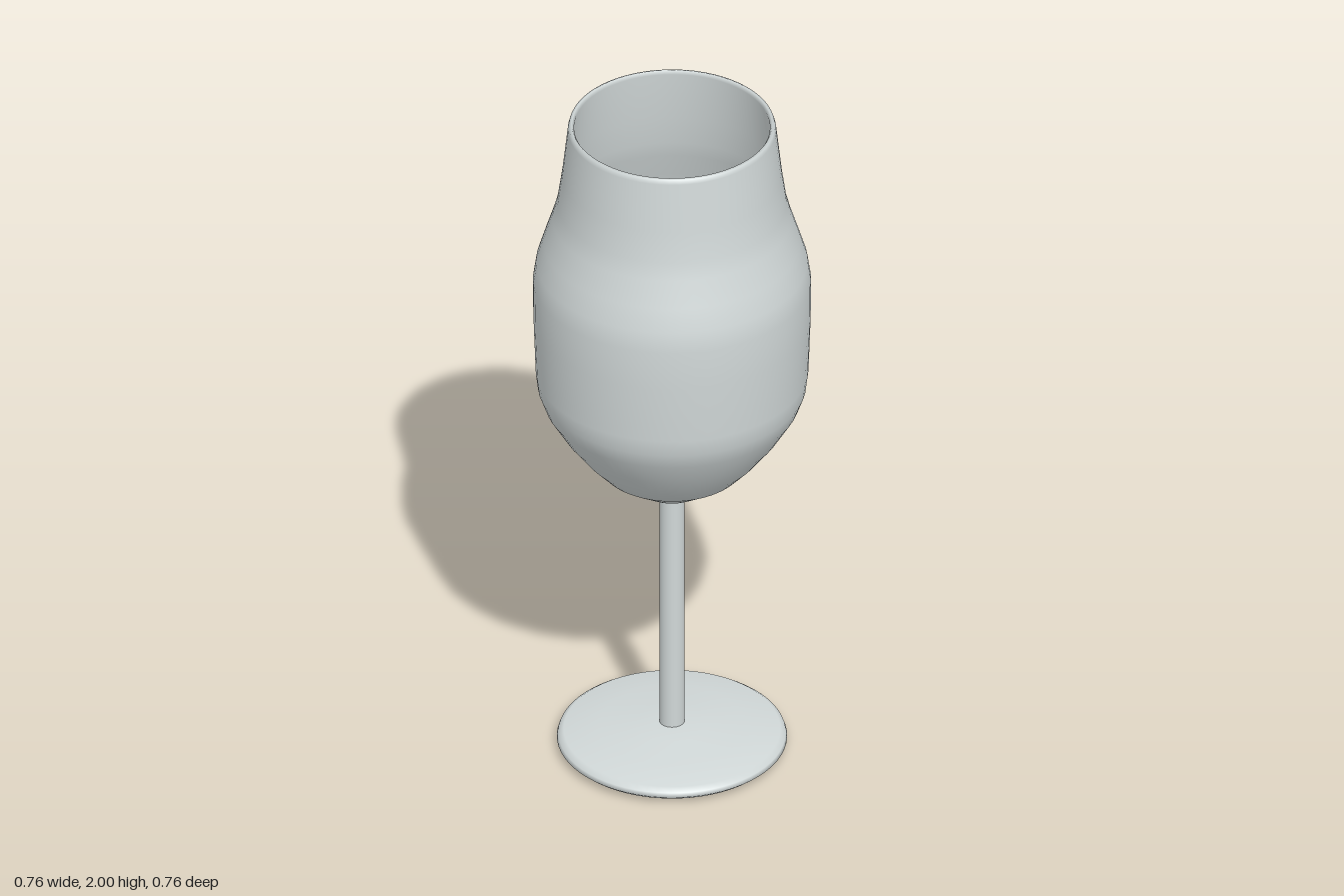
import * as THREE from 'three';

const SEGMENTS = 64;

// Smooth surface of revolution from [radius, height] pairs, outside listed bottom to top
function turned(name, profile, material) {
  const points = profile.map(([r, y]) => new THREE.Vector2(r, y));
  const mesh = new THREE.Mesh(new THREE.LatheGeometry(points, SEGMENTS), material);
  mesh.name = name;
  return mesh;
}

export function createModel() {
  const group = new THREE.Group();
  group.name = 'wineGlass';
  const glass = new THREE.MeshStandardMaterial({ color: 0xd0d7d7 });
  glass.name = 'pale grey glass';

  // Foot: shallow cone on top, bevelled edge, flat underside
  group.add(turned('footTop', [
    [0.275, 0], [0.3, 0.01], [0.314, 0.022], [0.31, 0.034], [0.295, 0.045],
    [0.2, 0.057], [0.1, 0.067], [0.05, 0.07], [0, 0.071],
  ], glass));
  group.add(turned('footUnderside', [[0, 0], [0.275, 0]], glass));

  // Stem
  group.add(turned('stem', [[0.034, 0.06], [0.034, 0.83]], glass));

  // Bowl: outer wall up to the rim, then the inner wall down to the floor
  group.add(turned('bowl', [
    [0, 0.822], [0.075, 0.822], [0.09, 0.83], [0.2, 0.907], [0.245, 0.957],
    [0.3, 1.03], [0.348, 1.11], [0.366, 1.16], [0.372, 1.21],
    [0.378, 1.38], [0.379, 1.5], [0.37, 1.56], [0.35, 1.625], [0.326, 1.7],
    [0.313, 1.75], [0.3, 1.84], [0.284, 1.985], [0.28, 1.998],
    [0.273, 2], [0.267, 1.99],
    [0.284, 1.84], [0.297, 1.75], [0.31, 1.7], [0.334, 1.625], [0.354, 1.56],
    [0.362, 1.5], [0.361, 1.38], [0.355, 1.21], [0.349, 1.165], [0.332, 1.118],
    [0.285, 1.04], [0.232, 0.97], [0.19, 0.922], [0.08, 0.845], [0, 0.84],
  ], glass));

  return group;
}
